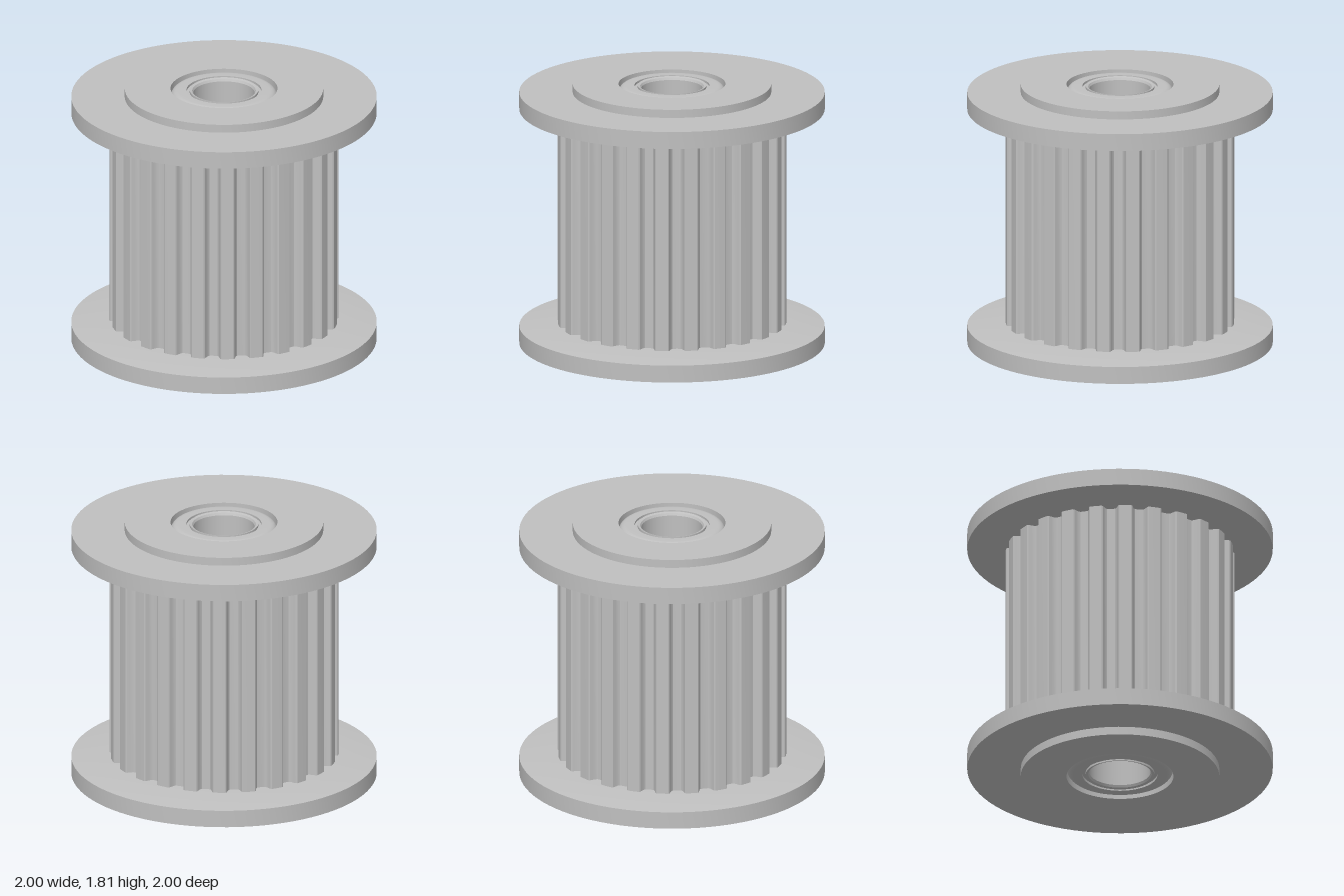
import * as THREE from 'three';
import { toCreasedNormals } from 'three/addons/utils/BufferGeometryUtils.js';

const HEIGHT = 1.81;
const TEETH = 24;
const HOLE = 0.35; // seat for the bearing

const creased = (geometry) => toCreasedNormals(geometry, 0.45);
const lathe = (points) =>
  creased(new THREE.LatheGeometry(points.map(([r, y]) => new THREE.Vector2(r, y)), 96));
const mirrorY = (points) => points.map(([r, y]) => [r, HEIGHT - y]).reverse();

// Round belt teeth: a flat-topped land between rounded grooves
function toothedGeometry(bottom, top) {
  const land = 0.75;
  const depth = 0.06;
  // [angle from groove centre in degrees, share of the groove depth]
  const groove = [
    [-4.5, 0], [-3.9, 0.12], [-3.5, 0.4], [-3.0, 0.75], [-2.2, 0.95], [0, 1],
    [2.2, 0.95], [3.0, 0.75], [3.5, 0.4], [3.9, 0.12], [4.5, 0], [7.5, 0],
  ];
  const outline = [];
  for (let i = 0; i < TEETH; i++) {
    for (const [offset, share] of groove) {
      const a = THREE.MathUtils.degToRad((i * 360) / TEETH + offset);
      const r = land - depth * share;
      outline.push(new THREE.Vector2(r * Math.cos(a), r * Math.sin(a)));
    }
  }
  const shape = new THREE.Shape(outline);
  shape.holes.push(new THREE.Path().absarc(0, 0, HOLE, 0, Math.PI * 2, true));
  const geometry = new THREE.ExtrudeGeometry(shape, {
    depth: top - bottom, bevelEnabled: false, curveSegments: 48,
  });
  geometry.rotateX(-Math.PI / 2);
  geometry.translate(0, bottom, 0);
  return creased(geometry);
}

export function createModel() {
  const group = new THREE.Group();
  group.name = 'toothedIdlerPulley';
  const metal = new THREE.MeshStandardMaterial({ color: 0xc0c0c0 });
  metal.name = 'light grey metal';

  const add = (name, geometry) => {
    const mesh = new THREE.Mesh(geometry, metal);
    mesh.name = name;
    group.add(mesh);
  };

  add('toothedBody', toothedGeometry(0.19, HEIGHT - 0.19));

  // Flange with a raised hub outside and a shallow cone towards the teeth
  const flange = [
    [HOLE, 0], [0.65, 0], [0.65, 0.055], [1, 0.055], [1, 0.17],
    [0.76, 0.2], [HOLE, 0.2], [HOLE, 0],
  ];
  add('bottomFlange', lathe(flange));
  add('topFlange', lathe(mirrorY(flange)));

  // Bearing face from bore to rim: inner ring, seal groove, rounded outer ring
  const face = [
    [0.2, 0.03], [0.208, 0.015], [0.225, 0.01], [0.225, 0.025], [0.245, 0.025], [0.245, 0.01], [0.3, 0.01],
  ];
  for (let i = 1; i <= 6; i++) {
    const a = (i / 6) * (Math.PI / 2);
    face.push([0.3 + 0.05 * Math.sin(a), 0.06 - 0.05 * Math.cos(a)]);
  }
  add('bearing', lathe([...mirrorY(face), ...face]));

  return group;
}
